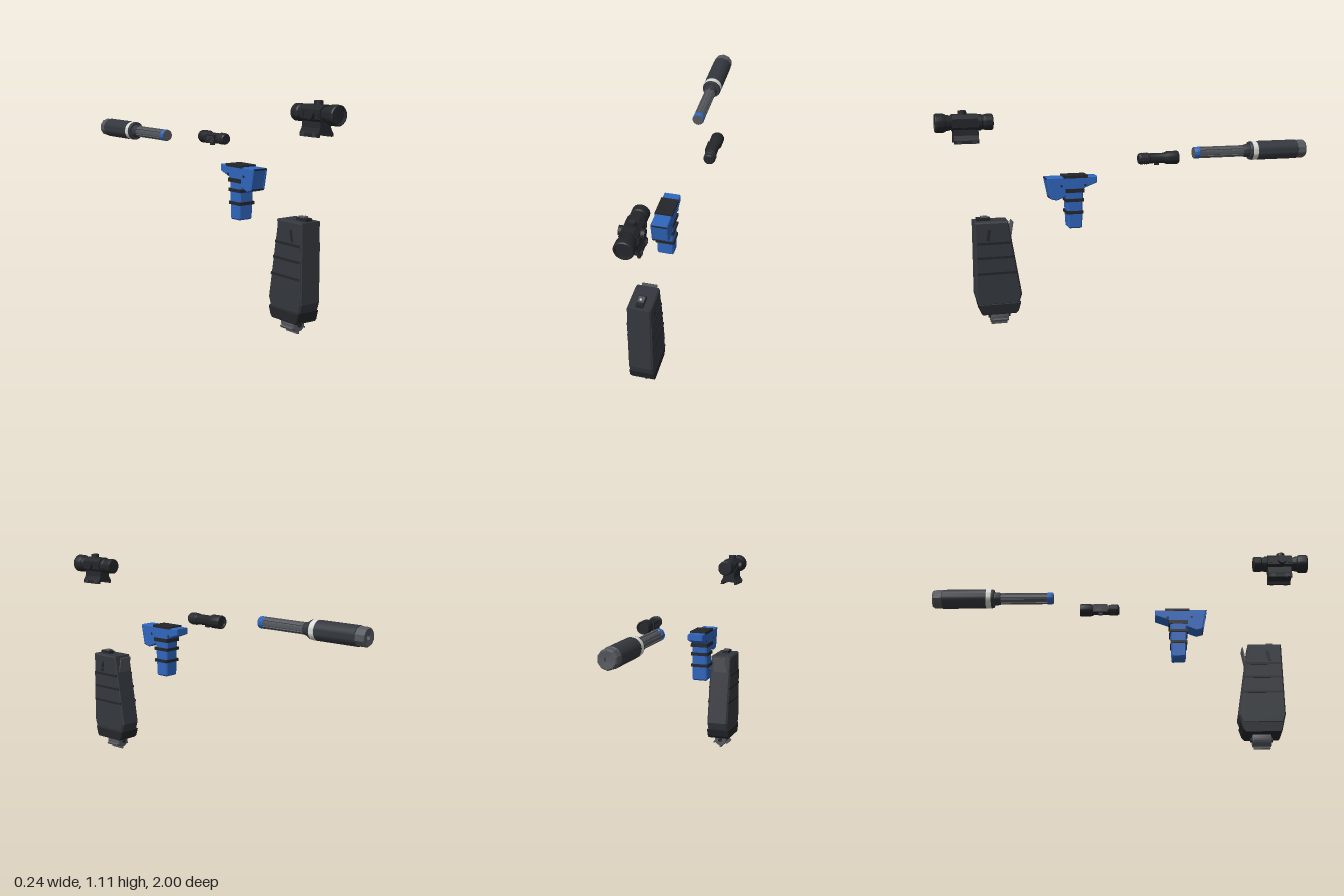
import * as THREE from 'three';
import { toCreasedNormals } from 'three/addons/utils/BufferGeometryUtils.js';

const paint = (color) => new THREE.MeshStandardMaterial({ color });
const BLACK = paint(0x24262a), DARK = paint(0x34383e), GREY = paint(0x55585d);
const BLUE = paint(0x2f66bd), WHITE = paint(0xdcdcd6);
const CX = -0.056; // centre line shared by most parts

function add(parent, name, geometry, material, x = 0, y = 0, z = 0) {
  const mesh = new THREE.Mesh(geometry, material);
  mesh.name = name;
  mesh.position.set(x, y, z);
  parent.add(mesh);
  return mesh;
}

function section(parent, name) {
  const g = new THREE.Group();
  g.name = name;
  parent.add(g);
  return g;
}

const box = (w, h, d) => new THREE.BoxGeometry(w, h, d);

// Turned part along z; points are [radius, z] with z rising
function turned(points, sides = 32) {
  const g = new THREE.LatheGeometry(points.map(([r, z]) => new THREE.Vector2(r, z)), sides);
  g.rotateX(Math.PI / 2);
  return toCreasedNormals(g, 0.5);
}

const shapeOf = (points) => new THREE.Shape(points.map(([a, b]) => new THREE.Vector2(a, b)));

// Side outline of [z, y] points, given a width in x, with chamfered edges
function sideSlab(points, width, bevel = 0) {
  const depth = width - 2 * bevel;
  const g = new THREE.ExtrudeGeometry(shapeOf(points), {
    depth, bevelEnabled: bevel > 0, bevelSize: bevel, bevelThickness: bevel,
    bevelOffset: -bevel, bevelSegments: 1,
  });
  g.translate(0, 0, -depth / 2);
  g.rotateY(-Math.PI / 2);
  return g;
}

// Front outline of [x, y] points, given a length in z
function frontSlab(points, length) {
  const g = new THREE.ExtrudeGeometry(shapeOf(points), { depth: length, bevelEnabled: false });
  return g.translate(0, 0, -length / 2);
}

function buildSight(root) {
  const g = section(root, 'sight');
  const y = 1.052;
  add(g, 'sightTube', turned([
    [0, 0.71], [0.036, 0.71], [0.041, 0.715], [0.041, 0.75], [0.037, 0.756], [0.037, 0.765],
    [0.041, 0.77], [0.041, 0.785], [0.036, 0.79], [0.036, 0.925], [0.04, 0.935], [0.04, 0.945],
    [0.043, 0.947], [0.048, 0.957], [0.048, 0.994], [0.044, 1], [0.04, 1], [0.039, 0.985], [0, 0.985],
  ]), BLACK, CX, y, 0);
  // octagonal housing
  const a = 0.042, b = 0.022;
  add(g, 'sightHousing', frontSlab([[a, -b], [a, b], [b, a], [-b, a], [-a, b], [-a, -b], [-b, -a], [b, -a]], 0.13),
    BLACK, CX, y, 0.852);
  add(g, 'topTurret', new THREE.CylinderGeometry(0.021, 0.023, 0.03, 20), BLACK, CX, 1.097, 0.862);
  add(g, 'topTurretSlot', box(0.02, 0.003, 0.006), DARK, CX, 1.1125, 0.862);
  for (const s of [-1, 1]) {
    const knob = add(g, 'sideTurret', new THREE.CylinderGeometry(0.023, 0.023, 0.03, 20), BLACK, CX + s * 0.045, y, 0.862);
    knob.rotation.z = Math.PI / 2;
    for (const z of [0.8, 0.905]) add(g, 'housingLug', box(0.012, 0.026, 0.018), BLACK, CX + s * 0.041, y - 0.004, z);
  }
  // flared mount with an open rail channel
  const half = [[0.03, 1.03], [0.033, 0.99], [0.041, 0.974], [0.047, 0.966], [0.047, 0.95], [0.035, 0.95], [0.031, 0.964]];
  const mirrored = half.map(([x, v]) => [-x, v]).reverse();
  add(g, 'railMount', frontSlab([...half, ...mirrored], 0.125), BLACK, CX, 0, 0.848);
  for (const z of [0.81, 0.885]) for (const s of [-1, 1])
    add(g, 'mountBolt', box(0.008, 0.02, 0.022), DARK, CX + s * 0.046, 0.96, z);
}

function buildBarrel(root) {
  const g = section(root, 'barrelAndSuppressor');
  const y = 0.855;
  add(g, 'barrel', turned([[0.026, -0.7], [0.026, -0.39]]), GREY, CX, y, 0);
  const flutes = 8;
  for (let i = 0; i < flutes; i++) {
    const t = i / flutes * Math.PI * 2;
    const rib = add(g, 'barrelRib', box(0.012, 0.008, 0.25), GREY, CX + Math.cos(t) * 0.026, y + Math.sin(t) * 0.026, -0.515);
    rib.rotation.z = t + Math.PI / 2;
  }
  add(g, 'barrelTip', turned([[0.027, -0.392], [0.031, -0.39], [0.031, -0.364], [0.029, -0.36]]), BLUE, CX, y, 0);
  add(g, 'barrelFace', turned([[0.03, -0.363], [0.029, -0.359], [0, -0.359]]), GREY, CX, y, 0);
  add(g, 'barrelCollar', turned([[0.035, -0.68], [0.035, -0.655], [0.031, -0.638], [0.026, -0.638]]), DARK, CX, y, 0);
  add(g, 'suppressorShoulder', turned([[0.05, -0.688], [0.05, -0.682], [0.046, -0.673], [0.03, -0.673]]), DARK, CX, y, 0);
  add(g, 'suppressorRing', turned([[0.046, -0.717], [0.051, -0.715], [0.051, -0.688], [0.046, -0.686]]), WHITE, CX, y, 0);
  add(g, 'suppressorBody', turned([[0.045, -0.952], [0.051, -0.948], [0.051, -0.718], [0.046, -0.714]]), DARK, CX, y, 0);
  add(g, 'suppressorCap', turned([
    [0, -0.98], [0.014, -0.98], [0.014, -0.997], [0.043, -1], [0.049, -0.992], [0.049, -0.952], [0.044, -0.946],
  ], 10), GREY, CX, y, 0);
}

function buildLight(root) {
  const g = section(root, 'flashlight');
  const x = 0.084, y = 0.855;
  add(g, 'lightBody', turned([
    [0, -0.214], [0.025, -0.214], [0.027, -0.224], [0.032, -0.224], [0.034, -0.218], [0.034, -0.165],
    [0.026, -0.145], [0.026, -0.068], [0.029, -0.064], [0.029, -0.02], [0.024, -0.012], [0, -0.012],
  ]), BLACK, x, y, 0);
  for (const z of [-0.055, -0.043, -0.031])
    add(g, 'gripRing', new THREE.TorusGeometry(0.029, 0.002, 6, 28), DARK, x, y, z);
  add(g, 'lightClamp', box(0.03, 0.046, 0.078), BLACK, 0.064, y - 0.004, -0.113);
  add(g, 'clampPlate', box(0.01, 0.034, 0.06), DARK, 0.054, y - 0.006, -0.113);
  add(g, 'clampScrew', box(0.016, 0.02, 0.022), BLACK, 0.068, 0.827, -0.113);
}

function buildGrip(root) {
  const g = section(root, 'foregrip');
  add(g, 'gripHead', sideSlab([
    [0.447, 0.759], [0.425, 0.648], [0.395, 0.64], [0.34, 0.662], [0.335, 0.69],
    [0.258, 0.69], [0.25, 0.7], [0.18, 0.726], [0.18, 0.759],
  ], 0.084, 0.004), BLUE, CX);
  add(g, 'gripHandle', sideSlab([
    [0.347, 0.71], [0.335, 0.497], [0.328, 0.49], [0.268, 0.49], [0.262, 0.497], [0.255, 0.71],
  ], 0.084, 0.007), BLUE, CX);
  add(g, 'topPad', box(0.088, 0.014, 0.128), BLACK, CX, 0.76, 0.295);
  for (const [y, h, d] of [[0.688, 0.02, 0.1], [0.638, 0.016, 0.095], [0.574, 0.016, 0.087]])
    add(g, 'gripBand', box(0.094, h, d), BLACK, CX, y, 0.3);
  // raised frame following the sloped nose
  const nose = section(g, 'noseFrame');
  nose.position.set(CX, 0.7035, 0.4375);
  nose.rotation.x = 0.196;
  for (const s of [-1, 1]) {
    add(nose, 'noseSideStrip', box(0.007, 0.1, 0.004), BLUE, s * 0.037, 0, 0);
    add(nose, 'noseCrossStrip', box(0.08, 0.007, 0.004), BLACK, 0, s * 0.051, 0);
    for (const z of [0.245, 0.37])
      add(g, 'sideScrew', new THREE.CylinderGeometry(0.006, 0.006, 0.006, 10).rotateZ(Math.PI / 2), BLACK, CX + s * 0.042, 0.715, z);
  }
}

function buildMagazine(root) {
  const g = section(root, 'magazine');
  add(g, 'magazineBody', sideSlab([
    [0.823, 0.55], [0.823, 0.163], [0.797, 0.07], [0.62, 0.07], [0.587, 0.163], [0.651, 0.55],
  ], 0.118, 0.007), DARK, CX);
  // raised lower side panels
  add(g, 'sidePanel', sideSlab([
    [0.818, 0.44], [0.818, 0.16], [0.805, 0.122], [0.61, 0.122], [0.595, 0.165], [0.64, 0.44],
  ], 0.123, 0.002), DARK, CX);
  for (const [y, back] of [[0.44, 0.638], [0.365, 0.624], [0.283, 0.61]])
    add(g, 'sideRib', box(0.126, 0.012, 0.815 - back), BLACK, CX, y, (0.815 + back) / 2);
  add(g, 'basePlate', sideSlab([
    [0.812, 0.122], [0.801, 0.078], [0.792, 0.066], [0.62, 0.066], [0.607, 0.08], [0.594, 0.122],
  ], 0.128, 0.004), BLACK, CX);
  for (const s of [-1, 1]) {
    const slot = add(g, 'sideSlot', box(0.006, 0.058, 0.016), BLACK, CX + s * 0.058, 0.482, 0.753);
    slot.rotation.x = -0.17;
  }
  // grey panel on the upper back slope
  const panel = add(g, 'backPanel', box(0.074, 0.15, 0.006), GREY, CX, 0.468, 0.637);
  panel.rotation.x = -0.164;
  // latch on the top face
  add(g, 'topLatch', box(0.036, 0.016, 0.07), BLACK, CX, 0.557, 0.772);
  add(g, 'latchBridge', box(0.03, 0.012, 0.035), GREY, CX, 0.566, 0.767);
  add(g, 'latchPin', new THREE.SphereGeometry(0.006, 12, 8), WHITE, CX, 0.575, 0.775);

  // three-pronged knob below the base
  const knob = section(g, 'baseKnob');
  knob.position.set(CX, 0.046, 0.7);
  add(knob, 'knobBarrel', turned([[0, -0.046], [0.033, -0.046], [0.035, -0.04], [0.035, 0.04], [0.033, 0.046], [0, 0.046]], 24), GREY);
  add(knob, 'knobAxle', turned([[0, -0.056], [0.011, -0.056], [0.011, 0.056], [0, 0.056]], 16), BLACK);
  for (const t of [-Math.PI / 2, -0.43, Math.PI + 0.43]) {
    const prong = add(knob, 'knobProng', box(0.02, 0.009, 0.082), GREY, Math.cos(t) * 0.036, Math.sin(t) * 0.036, 0);
    prong.rotation.z = t;
  }
}

export function createModel() {
  const root = new THREE.Group();
  root.name = 'accessorySet';
  for (const build of [buildSight, buildBarrel, buildLight, buildGrip, buildMagazine]) build(root);
  return root;
}
